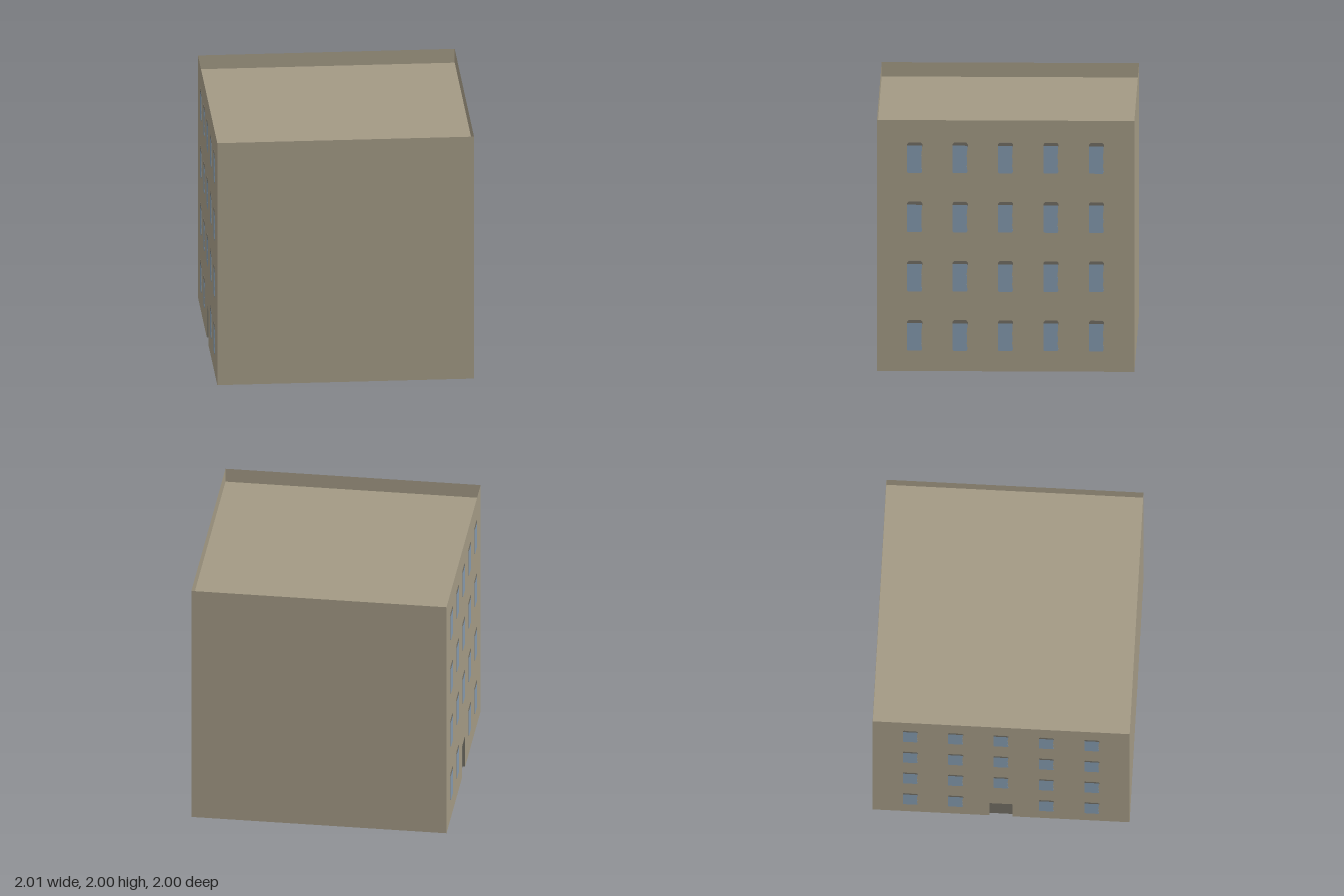
import * as THREE from 'three';

const DS = THREE.DoubleSide;
const wallMat = new THREE.MeshStandardMaterial({ name: 'sandstone', color: 0xa29984, side: DS });
const glassMat = new THREE.MeshStandardMaterial({ name: 'blueGlass', color: 0x8398ac });
const darkMat = new THREE.MeshStandardMaterial({ name: 'darkGrey', color: 0x706d63, side: DS });

const HALF = 1, HEIGHT = 2, ROOF_Y = 1.886;
const DOOR = { w: 0.18, h: 0.275, depth: 0.02 };
const PAINT = 0.006; // painted plates show on both faces of the thin walls

function add(parent, name, geometry, material, x = 0, y = 0, z = 0) {
  const mesh = new THREE.Mesh(geometry, material);
  mesh.name = name;
  mesh.position.set(x, y, z);
  parent.add(mesh);
  return mesh;
}

function plate(points) {
  const shape = new THREE.Shape(points.map(([x, y]) => new THREE.Vector2(x, y)));
  return new THREE.ExtrudeGeometry(shape, { depth: PAINT, bevelEnabled: false }).translate(0, 0, -PAINT / 2);
}

// Window outlines, measured from the bottom centre of the window
const paneGeo = plate([[-0.052, 0], [0.05, 0], [0.057, 0.015], [0.05, 0.06], [0.054, 0.09],
  [0.05, 0.14], [0.055, 0.185], [0.055, 0.219], [-0.059, 0.219], [-0.059, 0.007]]);
const lintelGeo = plate([[-0.059, 0.219], [0.052, 0.219], [0.059, 0.21], [0.059, 0.23],
  [0.047, 0.244], [-0.047, 0.244], [-0.059, 0.23]]);

// Wall facing +z, with an optional notch at the foot for the door
function wall(name, withDoor) {
  const group = new THREE.Group();
  group.name = name;
  const d = DOOR.w / 2;
  const notch = withDoor ? [[-d, 0], [-d, DOOR.h], [d, DOOR.h], [d, 0]] : [];
  const outline = [[-HALF, 0], ...notch, [HALF, 0], [HALF, HEIGHT], [-HALF, HEIGHT]];
  const shape = new THREE.Shape(outline.map(([x, y]) => new THREE.Vector2(x, y)));
  add(group, 'wallPanel', new THREE.ShapeGeometry(shape), wallMat, 0, 0, HALF);
  return group;
}

// Four rows of five windows, leaving out the one above the door's place
function addWindows(group, withDoor) {
  for (let row = 0; row < 4; row++) {
    for (let col = -2; col <= 2; col++) {
      if (withDoor && row === 0 && col === 0) continue;
      const win = new THREE.Group();
      win.name = 'window';
      win.position.set(col * 0.353, 0.163 + row * 0.472, HALF);
      add(win, 'windowPane', paneGeo, glassMat);
      add(win, 'windowLintel', lintelGeo, darkMat);
      group.add(win);
    }
  }
}

// Door set back into the wall, with its two jambs and head
function addDoor(group) {
  const { w, h, depth } = DOOR;
  const door = new THREE.Group();
  door.name = 'door';
  add(door, 'doorPanel', new THREE.PlaneGeometry(w, h), darkMat, 0, h / 2, HALF - depth);
  for (const side of [-1, 1]) {
    const jamb = new THREE.PlaneGeometry(depth, h).rotateY(-side * Math.PI / 2);
    add(door, 'doorJamb', jamb, darkMat, side * w / 2, h / 2, HALF - depth / 2);
  }
  add(door, 'doorHead', new THREE.PlaneGeometry(w, depth).rotateX(Math.PI / 2), darkMat, 0, h, HALF - depth / 2);
  group.add(door);
}

export function createModel() {
  const model = new THREE.Group();
  model.name = 'apartmentBlock';

  // Four thin walls, open underneath; the two side walls carry the windows
  ['frontWall', 'leftWall', 'backWall', 'rightWall'].forEach((name, i) => {
    const hasDoor = i === 3;
    const side = wall(name, hasDoor);
    if (i % 2) addWindows(side, hasDoor);
    if (hasDoor) addDoor(side);
    side.rotation.y = i * Math.PI / 2;
    model.add(side);
  });

  // Flat roof sunk below the parapet
  add(model, 'roof', new THREE.PlaneGeometry(2 * HALF, 2 * HALF).rotateX(-Math.PI / 2), wallMat, 0, ROOF_Y, 0);
  return model;
}
